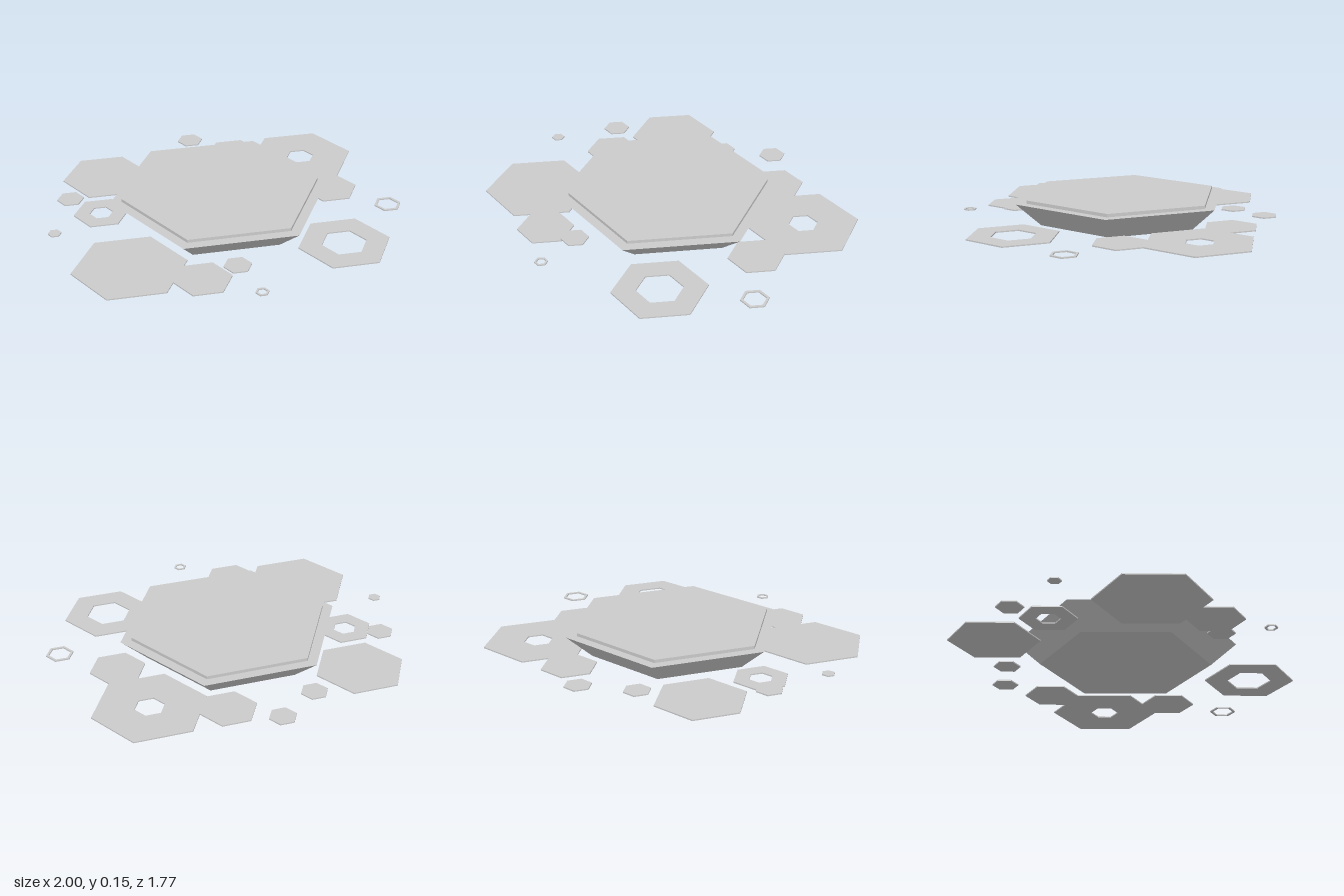
import * as THREE from 'three';

const material = new THREE.MeshStandardMaterial({ color: 0xcccccc, flatShading: true });

// Corners of a hexagon with points on the +x and -x sides
function hexPoints(radius) {
  return Array.from({ length: 6 }, (_, i) => {
    const a = (i * Math.PI) / 3;
    return new THREE.Vector2(radius * Math.cos(a), radius * Math.sin(a));
  });
}

// Solid hexagonal frustum standing on y
function hexFrustum(name, topRadius, bottomRadius, y, height) {
  const geometry = new THREE.CylinderGeometry(topRadius, bottomRadius, height, 6, 1, false, Math.PI / 2);
  const mesh = new THREE.Mesh(geometry, material);
  mesh.name = name;
  mesh.position.y = y + height / 2;
  return mesh;
}

// Thin hexagonal tile, with a hexagonal hole if one is given
function hexTile(x, z, y, radius, hole) {
  const thickness = 0.007;
  const shape = new THREE.Shape(hexPoints(radius));
  if (hole) shape.holes.push(new THREE.Path(hexPoints(hole).reverse()));
  const geometry = new THREE.ExtrudeGeometry(shape, { depth: thickness, bevelEnabled: false });
  geometry.rotateX(-Math.PI / 2);
  const mesh = new THREE.Mesh(geometry, material);
  mesh.name = hole ? 'ringTile' : 'tile';
  mesh.position.set(x, y - thickness / 2, z);
  return mesh;
}

export function createModel() {
  const model = new THREE.Group();
  model.name = 'hexPlatform';

  // Central platform: flared base with a raised deck
  const platform = new THREE.Group();
  platform.name = 'platform';
  platform.position.set(-0.014, 0, -0.019);
  platform.add(hexFrustum('flaredBase', 0.625, 0.48, 0, 0.128));
  platform.add(hexFrustum('topDeck', 0.563, 0.563, 0.128, 0.018));
  model.add(platform);

  // Surrounding tiles: x, z, height, radius, hole radius
  const tiles = [
    // Large corner tiles
    [-0.606, -0.503, 0.018, 0.252, 0],
    [0.58, -0.505, 0.018, 0.311, 0.082],
    [-0.606, 0.471, 0.018, 0.309, 0],
    [0.565, 0.477, 0.018, 0.256, 0.126],
    // Medium tiles
    [0.194, -0.645, 0.018, 0.156, 0],
    [0.652, -0.102, 0.018, 0.155, 0],
    [-0.684, -0.102, 0.018, 0.155, 0.066],
    [-0.249, 0.657, 0.018, 0.157, 0],
    // Small tiles
    [-0.289, -0.634, 0.016, 0.076, 0],
    [-0.043, -0.817, 0.035, 0.076, 0],
    [-0.841, -0.239, 0.048, 0.076, 0],
    [-0.051, 0.594, 0.035, 0.077, 0],
    [0.923, 0.138, 0.018, 0.077, 0.062],
    // Tiny tiles
    [-0.963, 0.113, 0.052, 0.037, 0],
    [0.019, 0.854, 0.035, 0.037, 0.026],
  ];
  const field = new THREE.Group();
  field.name = 'surroundingTiles';
  for (const tile of tiles) field.add(hexTile(...tile));
  model.add(field);

  return model;
}
